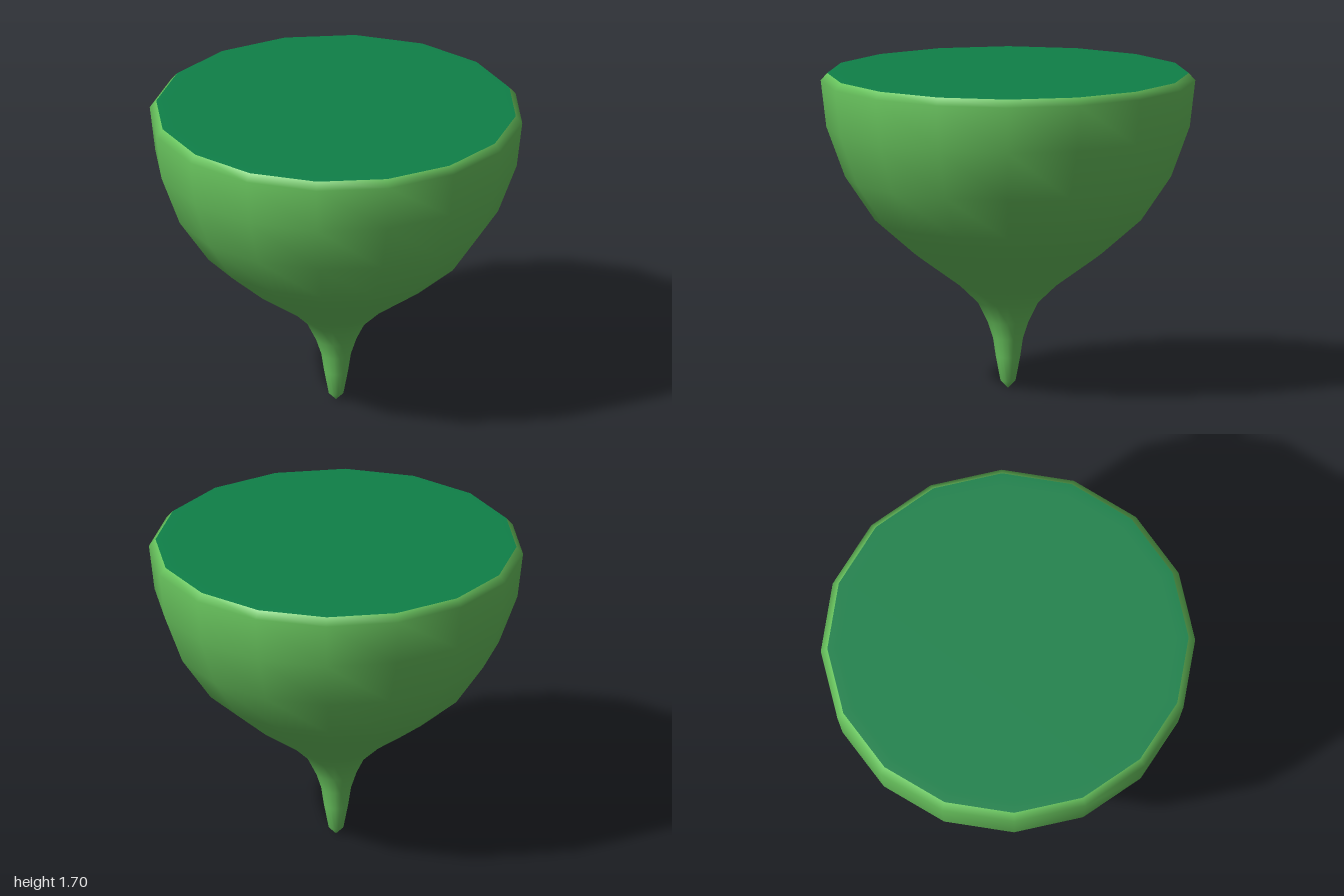
import * as THREE from 'three';

const SIDES = 16;

// Turns a list of [radius, height] pairs into a smooth 16-sided surface
function turned(name, profile, material) {
  const points = profile.map(([r, y]) => new THREE.Vector2(r, y));
  const mesh = new THREE.Mesh(new THREE.LatheGeometry(points, SIDES), material);
  mesh.name = name;
  return mesh;
}

export function createModel() {
  const leafGreen = new THREE.MeshStandardMaterial({ color: 0x6ac75f });
  leafGreen.name = 'leafGreen';
  const deepGreen = new THREE.MeshStandardMaterial({ color: 0x0f8048 });
  deepGreen.name = 'deepGreen';

  const group = new THREE.Group();
  group.name = 'toppedBowl';

  // Pointed stem flaring into a round bowl with a bevelled rim
  group.add(turned('bowl', [
    [0, 0], [0.04, 0.04], [0.065, 0.17], [0.08, 0.27], [0.11, 0.36],
    [0.16, 0.46], [0.26, 0.555], [0.5, 0.725], [0.71, 0.905],
    [0.87, 1.14], [0.97, 1.41], [1, 1.66], [0.965, 1.7],
  ], leafGreen));

  // Flat dark top
  group.add(turned('topFace', [[0.965, 1.7], [0.9, 1.702], [0, 1.702]], deepGreen));

  return group;
}
